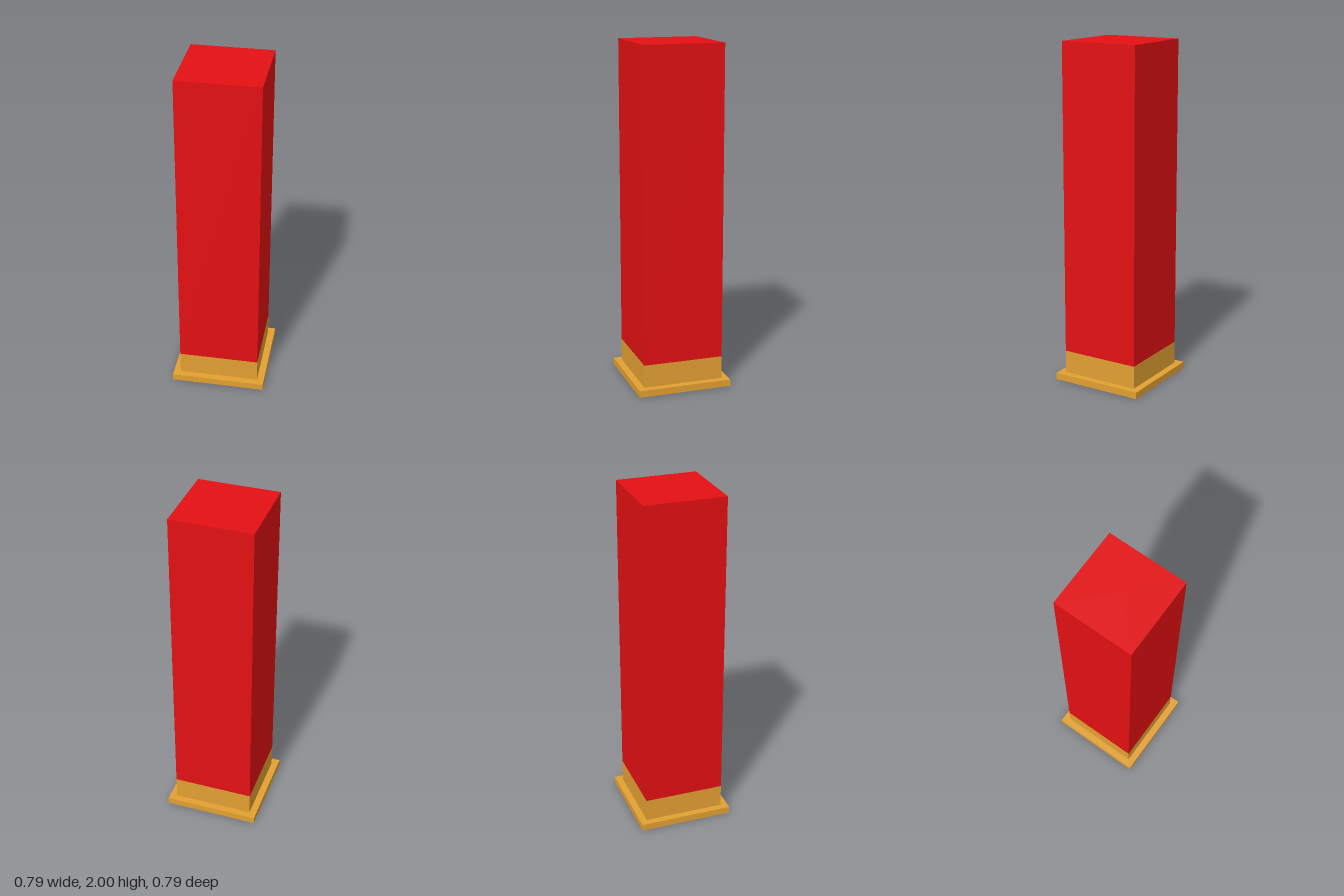
import * as THREE from 'three';

export function createModel() {
  const model = new THREE.Group();
  const red = new THREE.MeshStandardMaterial({ color: 0xe31013, flatShading: true });
  const gold = new THREE.MeshStandardMaterial({ color: 0xe2a032, flatShading: true });

  // Square prism with its corners on the x and z axes
  function addPrism(name, radius, bottom, top, material) {
    const geometry = new THREE.CylinderGeometry(radius, radius, top - bottom, 4);
    const mesh = new THREE.Mesh(geometry, material);
    mesh.name = name;
    mesh.position.y = (bottom + top) / 2;
    model.add(mesh);
  }

  addPrism('basePlate', 0.393, 0, 0.04, gold);
  addPrism('footBand', 0.335, 0.04, 0.175, gold);
  addPrism('pillarShaft', 0.335, 0.175, 2, red);

  return model;
}
